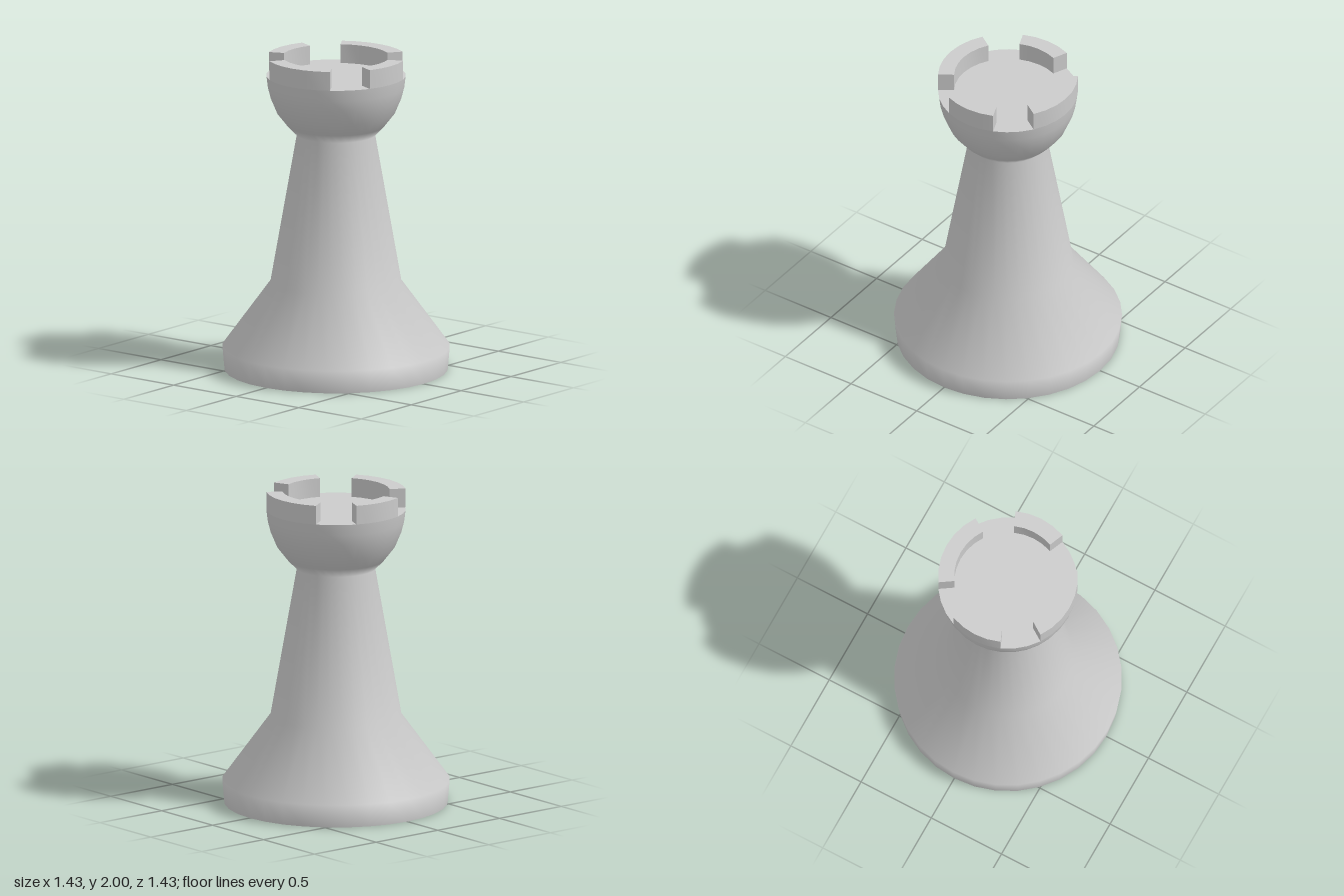
import * as THREE from 'three';
import { toCreasedNormals } from 'three/addons/utils/BufferGeometryUtils.js';

const SIDES = 32;
const STEP = (Math.PI * 2) / SIDES;
const FLOOR_Y = 1.88;
const TOP_Y = 2;
const R_OUT = 0.437;
const R_IN = 0.337;

export function createModel() {
  const group = new THREE.Group();
  const material = new THREE.MeshStandardMaterial({ color: 0xcccccc });

  const add = (name, geometry) => {
    const mesh = new THREE.Mesh(geometry, material);
    mesh.name = name;
    group.add(mesh);
    return mesh;
  };

  // Turned body: foot, tapering stem and flared cup
  const profile = [
    [0.7, 0], [0.713, 0.145], [0.41, 0.56], [0.245, 1.5],
    [0.305, 1.56], [0.368, 1.64], [0.41, 1.74], [0.428, 1.81], [R_OUT, FLOOR_Y],
  ].map(([r, y]) => new THREE.Vector2(r, y));
  add('body', new THREE.LatheGeometry(profile, SIDES));

  // Flat underside and the floor inside the battlements
  add('underside', new THREE.CircleGeometry(0.7, SIDES).rotateX(Math.PI / 2));
  add('towerFloor', new THREE.CircleGeometry(R_OUT, SIDES).rotateX(-Math.PI / 2))
    .position.y = FLOOR_Y;

  // Battlement: ring sector spanning halfSteps facets each side of its centre
  const battlement = (name, centre, halfSteps) => {
    const shape = new THREE.Shape();
    const corner = (r, i) => {
      const a = centre + i * STEP;
      return new THREE.Vector2(r * Math.cos(a), r * Math.sin(a));
    };
    const points = [];
    for (let i = -halfSteps; i <= halfSteps; i++) points.push(corner(R_OUT, i));
    for (let i = halfSteps; i >= -halfSteps; i--) points.push(corner(R_IN, i));
    shape.setFromPoints(points);
    const geometry = new THREE.ExtrudeGeometry(shape, {
      depth: TOP_Y - FLOOR_Y, bevelEnabled: false,
    }).rotateX(-Math.PI / 2);
    add(name, toCreasedNormals(geometry, 0.6)).position.y = FLOOR_Y;
  };

  // Wide battlements on the sides, narrower ones front and back
  battlement('leftBattlement', 0, 3);
  battlement('backBattlement', Math.PI / 2, 2);
  battlement('rightBattlement', Math.PI, 3);
  battlement('frontBattlement', -Math.PI / 2, 2);

  return group;
}
